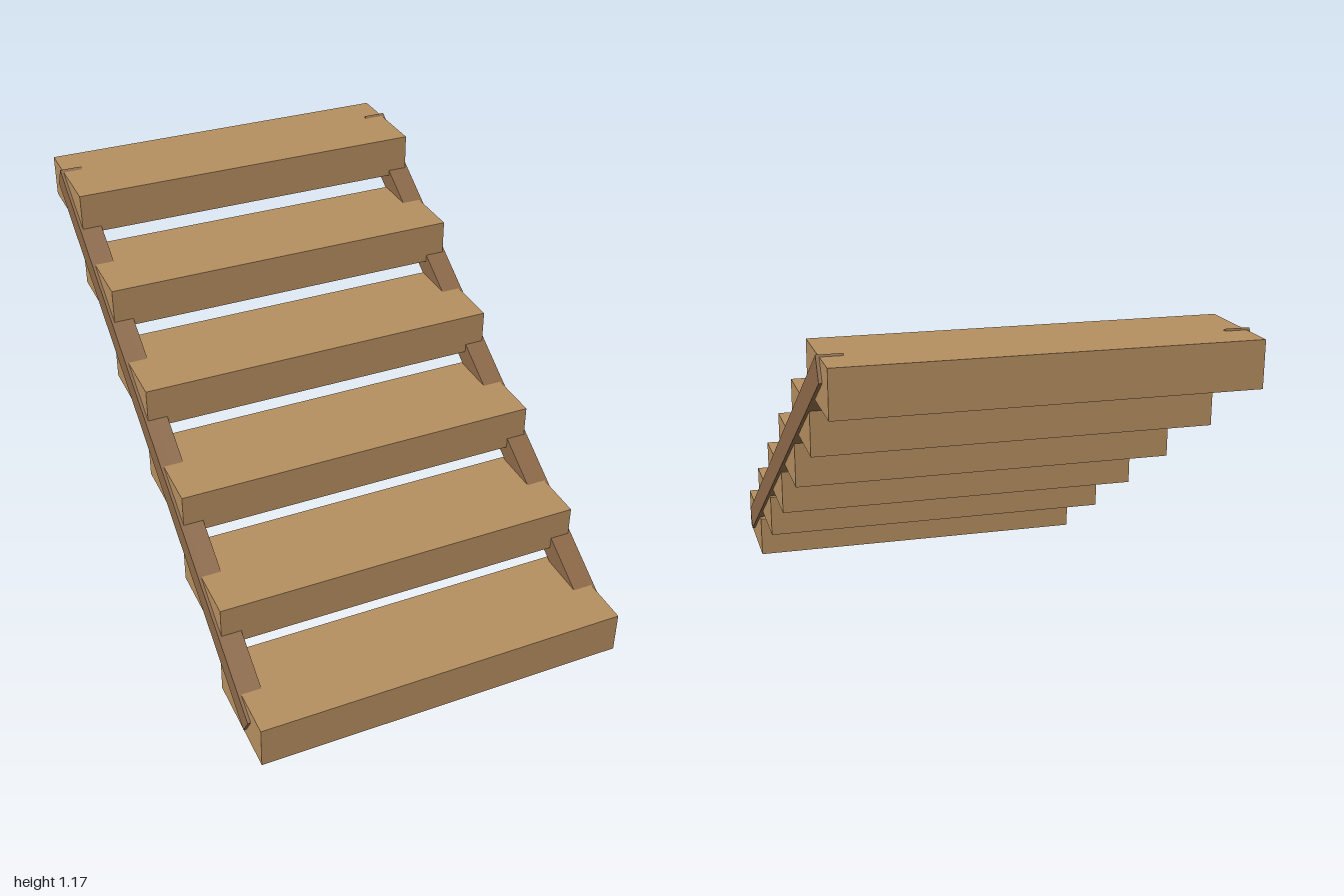
import * as THREE from 'three';

export function createModel() {
  const group = new THREE.Group();
  const treadWood = new THREE.MeshStandardMaterial({ color: 0xb58e60 });
  treadWood.name = 'light wood';
  const stringerWood = new THREE.MeshStandardMaterial({ color: 0x8c6948 });
  stringerWood.name = 'dark wood';

  // Six thick treads rising toward the back
  const count = 6, rise = 0.2038, run = 0.33;
  const treadGeometry = new THREE.BoxGeometry(1.26, 0.146, 0.35);
  for (let i = 0; i < count; i++) {
    const tread = new THREE.Mesh(treadGeometry, treadWood);
    tread.name = `tread${i + 1}`;
    tread.position.set(0, 0.073 + i * rise, 0.825 - i * run);
    group.add(tread);
  }

  // Sloping side beams running through the tread ends
  const stringerGeometry = new THREE.BoxGeometry(0.077, 0.082, 2.082);
  for (const side of [1, -1]) {
    const stringer = new THREE.Mesh(stringerGeometry, stringerWood);
    stringer.name = side > 0 ? 'leftStringer' : 'rightStringer';
    stringer.position.set(side * 0.6015, 0.6, 0);
    stringer.rotation.x = THREE.MathUtils.degToRad(31);
    group.add(stringer);
  }
  return group;
}
